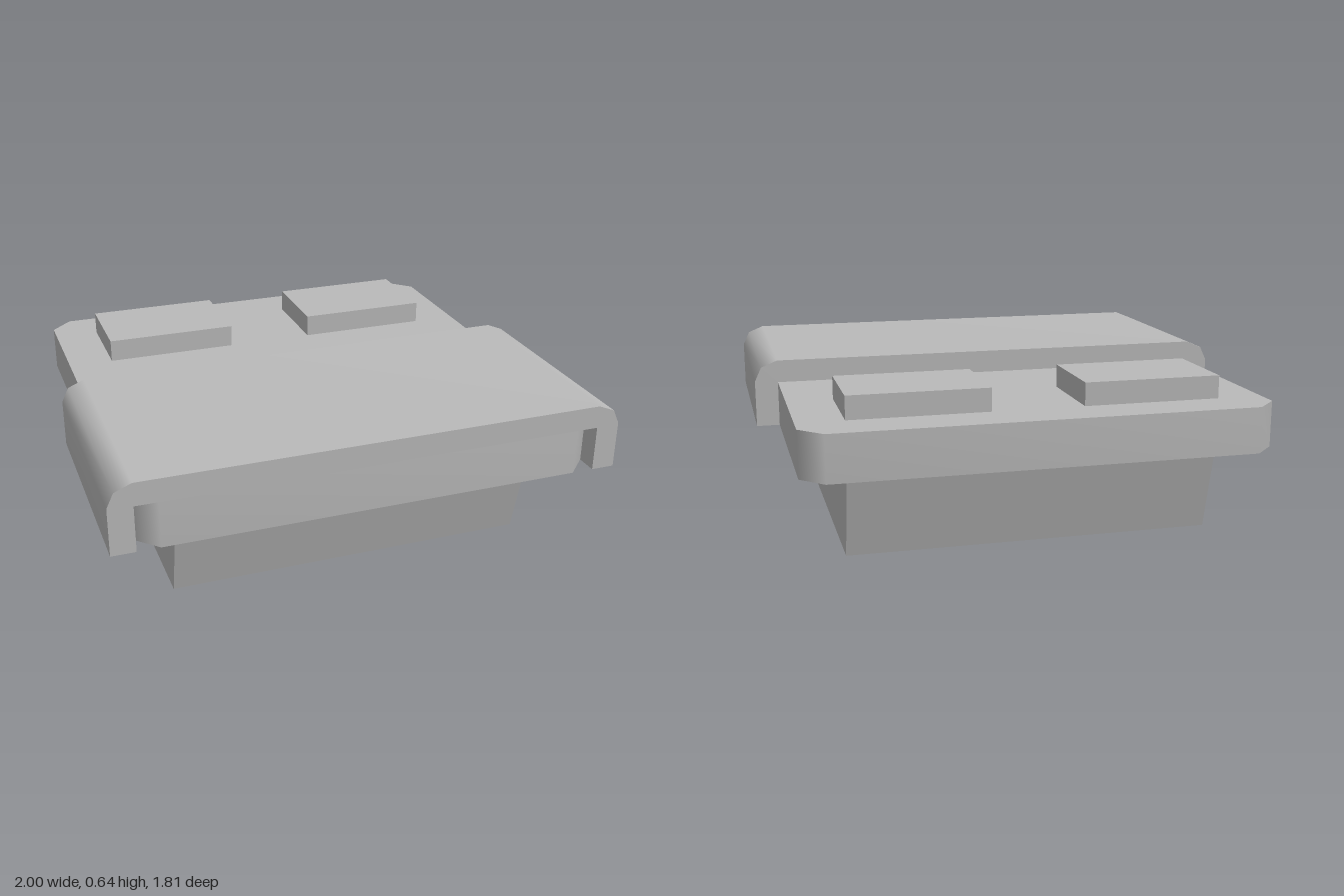
import * as THREE from 'three';

// Area-weighted smooth normals that keep edges sharper than the crease angle hard
function softenNormals(geo, crease = 0.9) {
  const pos = geo.attributes.position, faces = new Map(), normals = [];
  const corner = i => new THREE.Vector3().fromBufferAttribute(pos, i);
  const key = i => [pos.getX(i), pos.getY(i), pos.getZ(i)].map(v => Math.round(v * 1e4)).join();
  for (let i = 0; i < pos.count; i += 3) {
    const a = corner(i), n = corner(i + 1).sub(a).cross(corner(i + 2).sub(a));
    normals.push(n);
    for (let k = i; k < i + 3; k++) {
      if (!faces.has(key(k))) faces.set(key(k), []);
      faces.get(key(k)).push(n);
    }
  }
  for (let i = 0; i < pos.count; i++) {
    const own = normals[Math.floor(i / 3)], sum = new THREE.Vector3();
    for (const n of faces.get(key(i))) if (n.angleTo(own) < crease) sum.add(n);
    sum.normalize();
    geo.attributes.normal.setXYZ(i, sum.x, sum.y, sum.z);
  }
  return geo;
}

function extrude(points, depth) {
  const shape = new THREE.Shape(points.map(p => new THREE.Vector2(...p)));
  return new THREE.ExtrudeGeometry(shape, { depth, bevelEnabled: false });
}

export function createModel() {
  const group = new THREE.Group();
  const grey = new THREE.MeshStandardMaterial({ color: 0xbababa });
  grey.name = 'grey';
  const add = (name, geo) => {
    const mesh = new THREE.Mesh(geo, grey);
    mesh.name = name;
    group.add(mesh);
    return mesh;
  };

  // Base: tapers towards the floor at head and foot, straight at the sides
  const base = extrude([[-0.635, 0], [0.635, 0], [0.727, 0.367], [-0.727, 0.367]], 1.45);
  add('base', base.translate(0, 0, -0.725).rotateY(Math.PI / 2));

  // Mattress: square slab with cut corners
  const s = 0.907, c = 0.82;
  const slab = extrude([[-c, -s], [c, -s], [s, -c], [s, c], [c, s], [-c, s], [-s, c], [-s, -c]], 0.181);
  add('mattress', softenNormals(slab.rotateX(-Math.PI / 2).translate(0, 0.367, 0)));

  // Blanket: inverted U draped over the front half
  const half = [[1, 0.367], [1, 0.555], [0.973, 0.612], [0.907, 0.639]];
  const inner = [[-s, 0.367], [-s, 0.548], [s, 0.548], [s, 0.367]];
  const mirrored = half.map(([x, y]) => [-x, y]).reverse();
  add('blanket', softenNormals(extrude([...half, ...mirrored, ...inner], s)));

  // Pillows
  for (const side of [-1, 1]) {
    const pillow = add(side > 0 ? 'leftPillow' : 'rightPillow', new THREE.BoxGeometry(0.544, 0.091, 0.36));
    pillow.position.set(side * 0.453, 0.5935, -0.548);
  }
  return group;
}
